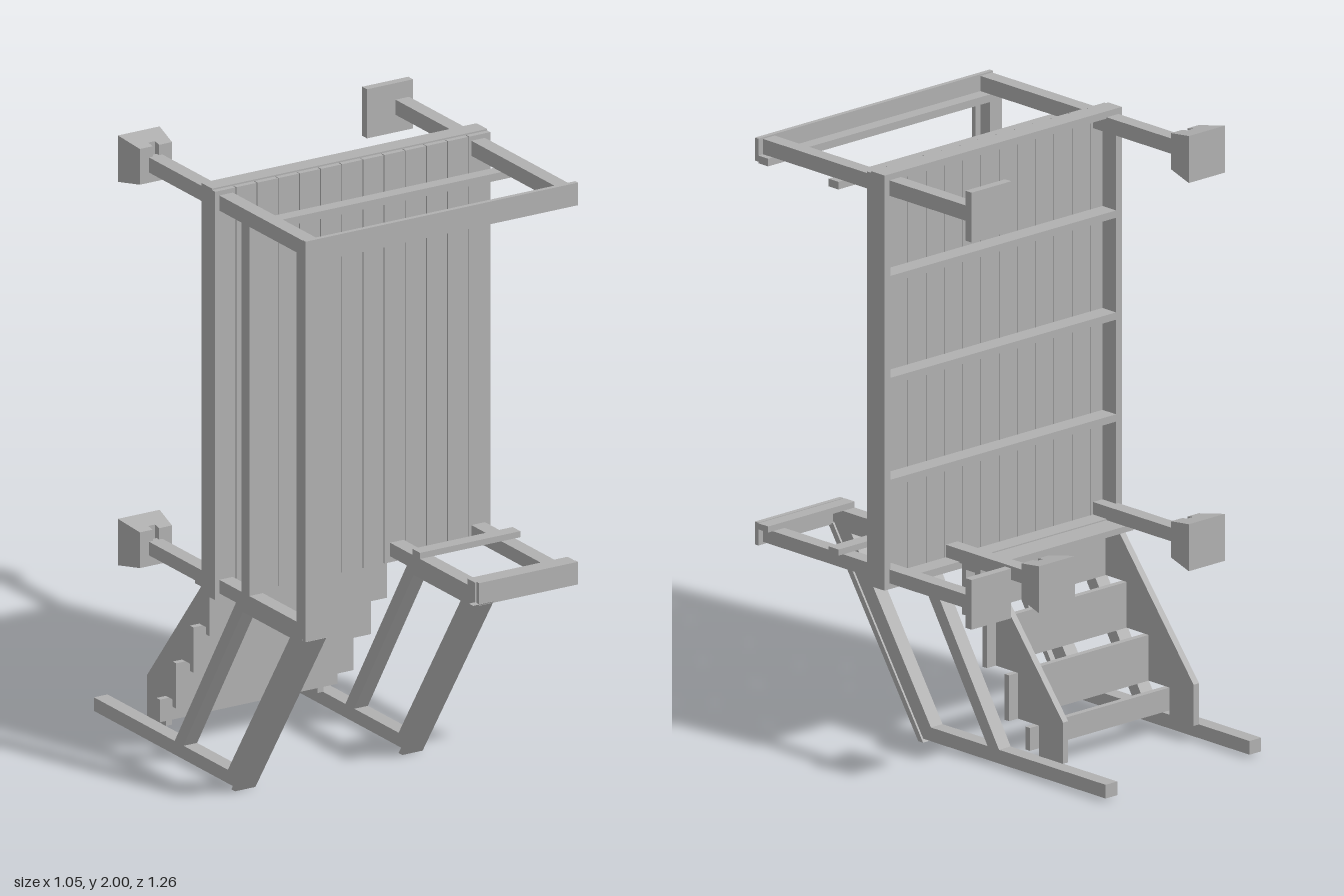
import * as THREE from 'three';

export function createModel() {
  const model = new THREE.Group();
  const grey = new THREE.MeshStandardMaterial({ color: 0xb0b0b0 });
  grey.name = 'plain grey';

  const add = (name, geometry) => {
    const mesh = new THREE.Mesh(geometry, grey);
    mesh.name = name;
    model.add(mesh);
    return mesh;
  };
  // Box given by its limits on each axis
  const box = (name, x0, x1, y0, y1, z0, z1) =>
    add(name, new THREE.BoxGeometry(x1 - x0, y1 - y0, z1 - z0)
      .translate((x0 + x1) / 2, (y0 + y1) / 2, (z0 + z1) / 2));
  // Outline of [z, y] points, extruded across x
  const sideShape = (name, points, x0, x1) => {
    const shape = new THREE.Shape(points.map(([z, y]) => new THREE.Vector2(z, y)));
    const g = new THREE.ExtrudeGeometry(shape, { depth: x1 - x0, bevelEnabled: false });
    return add(name, g.rotateY(-Math.PI / 2).translate(x1, 0, 0));
  };

  // Wall: vertical planks on a frame with cross battens behind
  const pitch = 1.015 / 13;
  for (let i = 0; i < 13; i++) {
    const x = -0.49 + i * pitch;
    box('wallPlank', x, x + pitch - (i < 12 ? 0.003 : 0), 0.605, 1.96, 0.097, 0.115);
  }
  box('wallStud', -0.49, -0.465, 0.605, 1.965, 0.035, 0.097);
  box('wallStud', 0.5, 0.525, 0.605, 1.965, 0.035, 0.097);
  for (let i = 0; i < 5; i++) {
    const y = 0.605 + i * 0.334;
    box('wallBatten', -0.465, 0.5, y, y + 0.024, 0.035, 0.097);
  }

  // Long rails running front to back
  const left = [0.455, 0.505], middle = [0.155, 0.205], right = [-0.475, -0.425];
  const low = [0.625, 0.67], high = [1.895, 1.945];
  for (const level of [low, high]) {
    box('rail', ...left, ...level, -0.33, 0.61);
    box('rail', ...right, ...level, -0.31, 0.61);
  }
  box('rail', ...middle, ...low, -0.3, 0.61);

  // Flat square feet on the left rails
  for (const y of [0.568, 1.837]) box('flatFoot', 0.35, 0.52, y, y + 0.163, -0.355, -0.327);

  // Flared block feet with a slot in the narrow end
  const flaredFoot = (x, y, zBack) => {
    const slice = (points, z0, z1) => {
      const shape = new THREE.Shape(points.map((p) => new THREE.Vector2(...p)));
      const g = new THREE.ExtrudeGeometry(shape, { depth: z1 - z0, bevelEnabled: false });
      const p = g.attributes.position;
      for (let i = 0; i < p.count; i++) {
        const z = p.getZ(i) + z0;
        const s = 1 - 0.23 * (z / 0.1);
        p.setXYZ(i, p.getX(i) * s, p.getY(i) * s, z);
      }
      g.computeVertexNormals();
      add('flaredFoot', g.translate(x, y, zBack));
    };
    const h = 0.077;
    slice([[-h, -h], [h, -h], [h, h], [-h, h]], 0, 0.075);
    slice([[-h, -h], [h, -h], [h, h], [0.015, h], [0.015, 0.02], [-0.015, 0.02],
      [-0.015, h], [-h, h]], 0.075, 0.1);
  };
  flaredFoot(-0.449, 0.648, -0.395);
  flaredFoot(-0.449, 1.92, -0.395);
  flaredFoot(0.182, 0.648, -0.385);

  // Posts on the right side, cross bars between the rails
  for (const [z0, z1] of [[0.565, 0.61], [0.245, 0.29]]) {
    box('post', ...right, 0.67, 1.895, z0, z1);
    box('upperCrossBar', -0.425, 0.525, 1.87, 1.895, z0, z1);
    box('lowerCrossBar', 0.155, 0.525, 0.67, 0.69, z0, z1);
  }

  // Facing boards on the front
  box('postFacing', -0.48, -0.405, 0.62, 1.95, 0.61, 0.626);
  box('topFacing', -0.405, 0.525, 1.875, 1.95, 0.61, 0.626);
  box('lowerFacing', 0.16, 0.525, 0.617, 0.692, 0.61, 0.626);

  // Slanted leg frames standing on ground runners
  for (const [x0, x1] of [right, middle]) {
    const mid = (x0 + x1) / 2;
    box('runner', x0, x1, 0.01, 0.055, x0 < 0 ? -0.615 : -0.63, 0.2);
    sideShape('frontLeg', [[0.605, 0.625], [0.54, 0.625], [0.165, 0.055], [0.195, 0.01], [0.2, 0.01]], x0, x1);
    sideShape('backLeg', [[0.265, 0.625], [0.213, 0.625], [-0.145, 0.055], [-0.093, 0.055]], x0, x1);
    box('legTopBar', x0, x1, 0.605, 0.625, 0.24, 0.58);
    const f0 = x0 < 0 ? -0.48 : 0.137;
    sideShape('legFacing', [[0.628, 0.622], [0.603, 0.622], [0.193, 0], [0.215, 0]], f0, f0 + 0.075);
  }

  // Stair: notched side boards, upright step boards and a top board
  const stringer = [[0.015, 0.605], [0.015, 0.455], [-0.08, 0.455], [-0.08, 0.305], [-0.18, 0.305],
    [-0.18, 0.155], [-0.275, 0.155], [-0.275, 0.055], [-0.385, 0.055], [-0.385, 0.19], [-0.05, 0.605]];
  sideShape('stairSide', stringer, -0.425, -0.402);
  sideShape('stairSide', stringer, 0.135, 0.157);
  [[0.035, 0.455, 0.605], [-0.06, 0.305, 0.455], [-0.16, 0.155, 0.305], [-0.255, 0.08, 0.155]]
    .forEach(([z, y0, y1]) => box('stepBoard', -0.46, 0.195, y0, y1, z - 0.02, z));
  box('stairTopBoard', -0.46, 0.195, 0.605, 0.625, -0.05, 0.035);

  return model;
}
